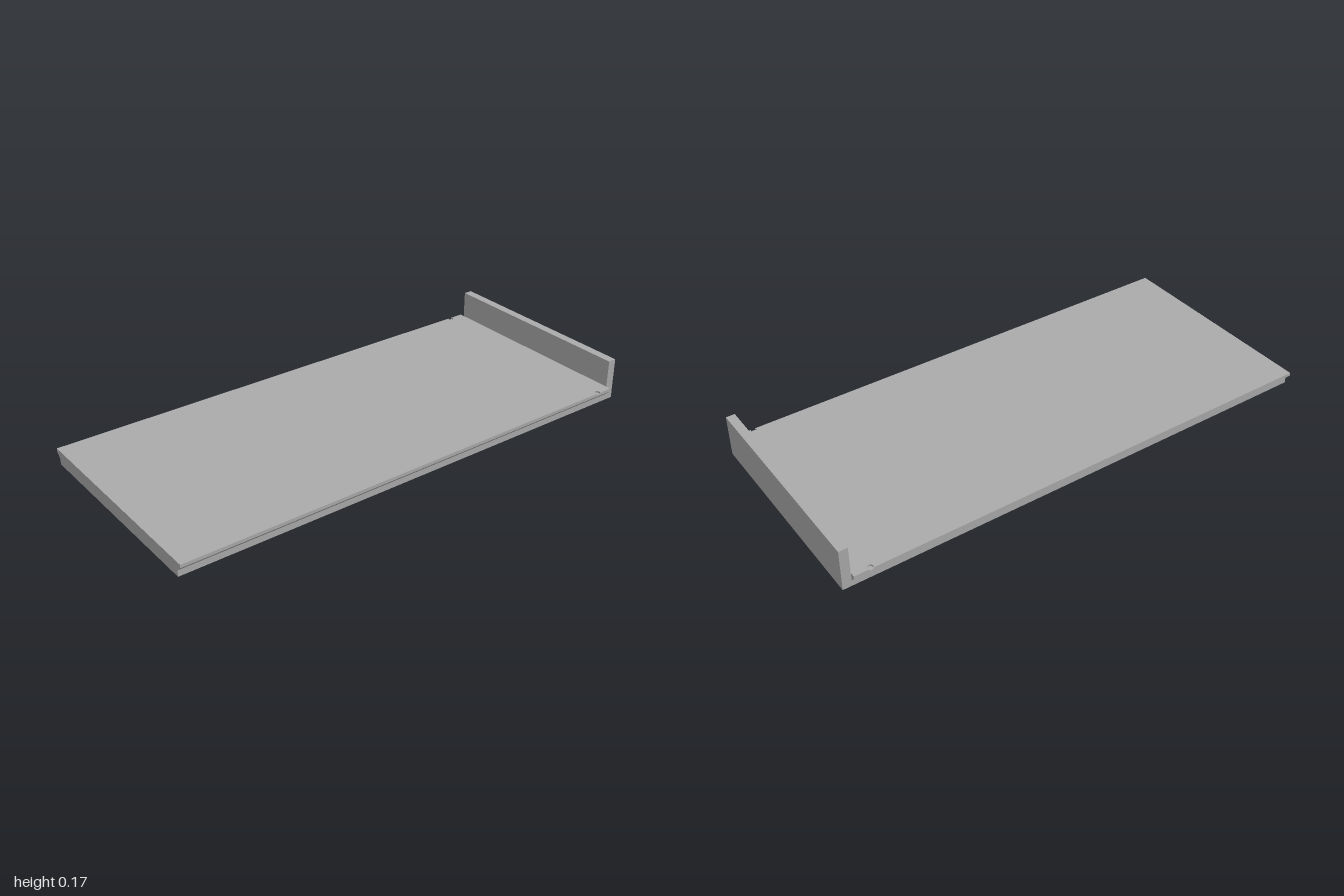
import * as THREE from 'three';

export function createModel() {
  const group = new THREE.Group();
  const grey = new THREE.MeshStandardMaterial({ color: 0xaaaaaa });
  const add = (name, geometry) => {
    const mesh = new THREE.Mesh(geometry, grey);
    mesh.name = name;
    group.add(mesh);
    return mesh;
  };

  const inner = 0.427, outer = 0.447; // half widths of base and overhanging rails
  const back = -0.965, front = 1;     // z range of the sliding panel
  const top = 0.058, floor = 0.051;   // top face and bottom of the notches

  // Sliding panel: cross-section with bevelled side rails, run along z
  const half = [[inner, 0], [inner, 0.025], [outer, 0.045], [outer, floor]];
  const section = new THREE.Shape([
    ...half.map(([x, y]) => new THREE.Vector2(x, y)),
    ...half.slice().reverse().map(([x, y]) => new THREE.Vector2(-x, y)),
  ]);
  const panel = new THREE.ExtrudeGeometry(section, { depth: front - back, bevelEnabled: false });
  add('slidingPanel', panel.translate(0, 0, back));

  // Top skin: plan outline with a small round detent notch in each side edge
  const r = 0.011, cx = 0.439, cz = -0.9;
  const a = Math.acos((outer - cx) / r);
  const plan = new THREE.Shape();
  plan.moveTo(-outer, -front);
  plan.lineTo(outer, -front);
  plan.absarc(cx, -cz, r, -a, a, true);
  plan.lineTo(outer, -back);
  plan.lineTo(-outer, -back);
  plan.absarc(-cx, -cz, r, Math.PI - a, Math.PI + a, true);
  plan.closePath();
  const skin = new THREE.ExtrudeGeometry(plan, { depth: top - floor, bevelEnabled: false, curveSegments: 16 });
  add('notchedTop', skin.rotateX(-Math.PI / 2).translate(0, floor, 0));

  // Upright end plate at the back
  const plate = new THREE.BoxGeometry(inner * 2, 0.17, back + 1);
  add('endPlate', plate.translate(0, 0.085, (back - 1) / 2));

  return group;
}
